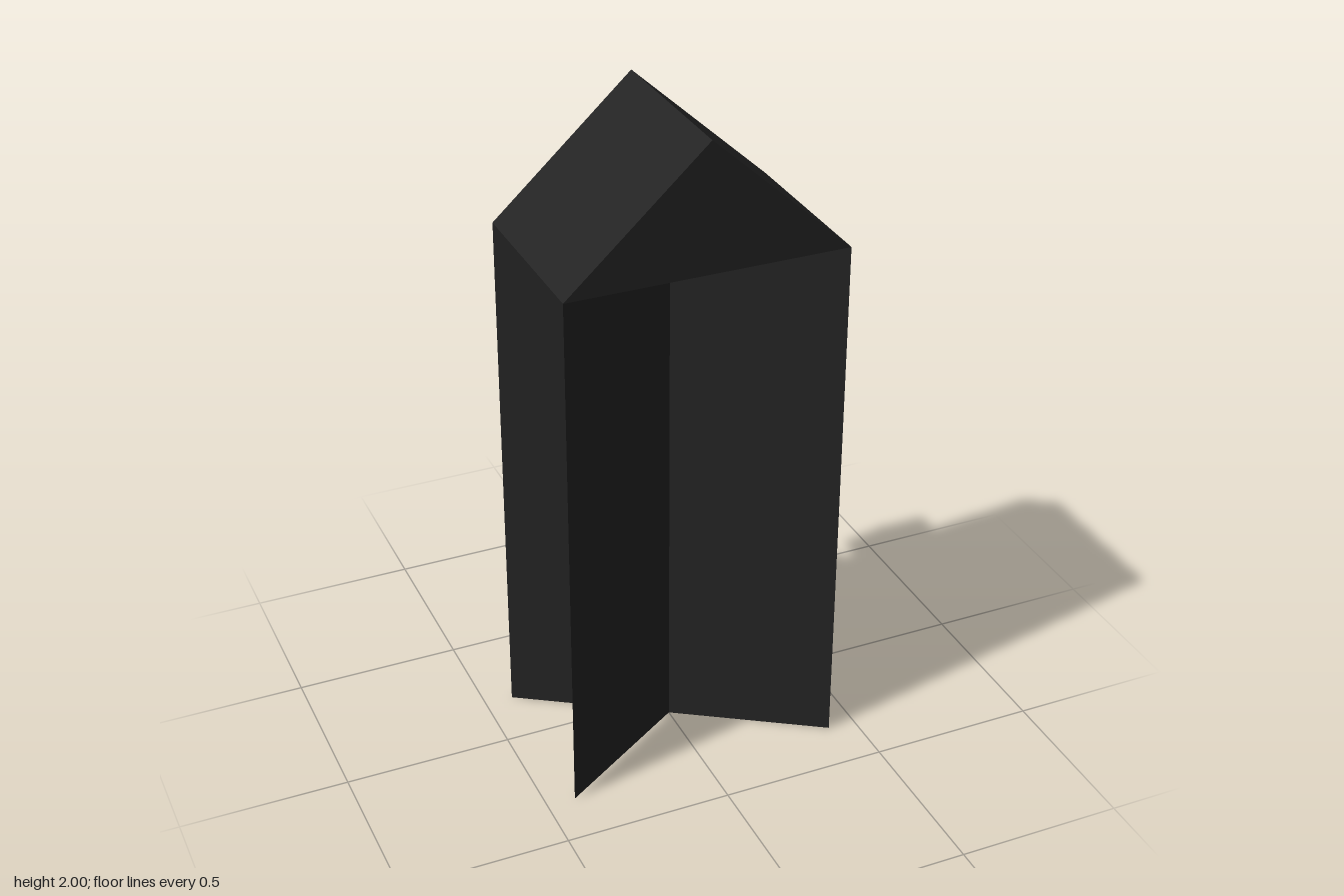
import * as THREE from 'three';

// Thin flat panel from its corners, fanned from the first one
function panel(name, material, corners) {
  const points = [];
  for (let i = 1; i < corners.length - 1; i++) {
    points.push(...corners[0], ...corners[i], ...corners[i + 1]);
  }
  const geometry = new THREE.BufferGeometry();
  geometry.setAttribute('position', new THREE.Float32BufferAttribute(points, 3));
  geometry.computeVertexNormals();
  const mesh = new THREE.Mesh(geometry, material);
  mesh.name = name;
  return mesh;
}

// Two upright panels crossing along the diagonals of a rectangle
function crossedPanels(name, material, w, y0, y1, back, front) {
  const group = new THREE.Group();
  group.name = name;
  for (const s of [-1, 1]) {
    group.add(panel(name + 'Panel', material, [
      [-s * w, y0, back], [s * w, y0, front], [s * w, y1, front], [-s * w, y1, back],
    ]));
  }
  return group;
}

export function createModel() {
  const model = new THREE.Group();
  model.name = 'model';
  const charcoal = new THREE.MeshStandardMaterial({ color: 0x242424, side: THREE.DoubleSide });
  charcoal.name = 'charcoal';

  const w = 0.415, back = -0.192, front = 0.336, eave = 1.62, ridge = 2;

  // Body: crossed panels, open below
  model.add(crossedPanels('body', charcoal, w, 0, eave, back, front));

  // Roof: two gables and two slopes, open underneath
  const roof = new THREE.Group();
  roof.name = 'roof';
  roof.add(panel('frontGable', charcoal, [[-w, eave, front], [w, eave, front], [0, ridge, front]]));
  roof.add(panel('backGable', charcoal, [[w, eave, back], [-w, eave, back], [0, ridge, back]]));
  roof.add(panel('leftSlope', charcoal, [[w, eave, front], [w, eave, back], [0, ridge, back], [0, ridge, front]]));
  roof.add(panel('rightSlope', charcoal, [[-w, eave, back], [-w, eave, front], [0, ridge, front], [0, ridge, back]]));
  model.add(roof);

  // Back blocks: crossed panels between a top and a bottom plate
  const bw = 0.083, blockBack = -0.336;
  for (const [y0, y1] of [[0.78, 0.978], [1.236, 1.434]]) {
    const block = crossedPanels('backBlock', charcoal, bw, y0, y1, blockBack, back);
    block.add(panel('topPlate', charcoal, [
      [-bw, y1, back], [bw, y1, back], [bw, y1, blockBack], [-bw, y1, blockBack],
    ]));
    block.add(panel('bottomPlate', charcoal, [
      [-bw, y0, blockBack], [bw, y0, blockBack], [bw, y0, back], [-bw, y0, back],
    ]));
    model.add(block);
  }
  return model;
}
